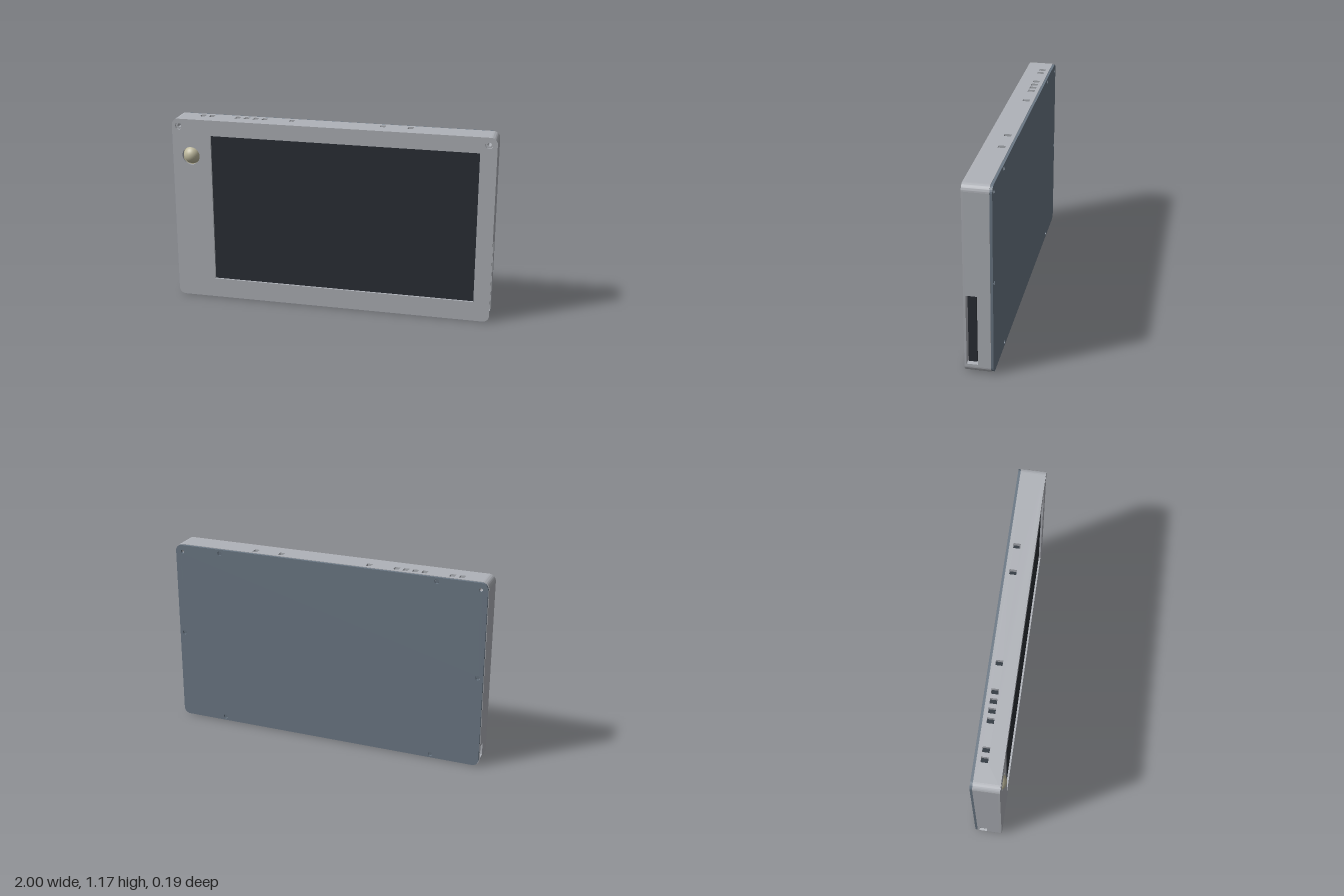
import * as THREE from 'three';
import { toCreasedNormals } from 'three/addons/utils/BufferGeometryUtils.js';

const H = 1.17, R = 0.04, WALL = 0.03;
const BACK = -0.095, SEAM = -0.08, LIP = 0.061, FRONT = 0.073;

const paint = (color) => new THREE.MeshStandardMaterial({ color });
const shellMat = paint(0xb0b3b9), backMat = paint(0x6b7885), screenMat = paint(0x2b2f36);
const domeMat = paint(0xbfba9f), screwMat = paint(0x66727e), blueMat = paint(0x3f6a94);

function rect(path, x0, y0, x1, y1) {
  path.moveTo(x0, y0);
  path.lineTo(x1, y0);
  path.lineTo(x1, y1);
  path.lineTo(x0, y1);
  path.closePath();
  return path;
}

function roundedRect(x0, y0, x1, y1, r) {
  const s = new THREE.Shape();
  s.absarc(x1 - r, y1 - r, r, 0, Math.PI / 2);
  s.absarc(x0 + r, y1 - r, r, Math.PI / 2, Math.PI);
  s.absarc(x0 + r, y0 + r, r, Math.PI, Math.PI * 1.5);
  s.absarc(x1 - r, y0 + r, r, Math.PI * 1.5, Math.PI * 2);
  s.closePath();
  return s;
}

const circle = (x, y, r) => new THREE.Path().absarc(x, y, r, 0, Math.PI * 2, true);

function extrude(shape, depth) {
  const g = new THREE.ExtrudeGeometry(shape, { depth, bevelEnabled: false, curveSegments: 12 });
  return toCreasedNormals(g, 0.6);
}

export function createModel() {
  const model = new THREE.Group();
  model.name = 'wallPanelDisplay';
  const add = (name, geometry, material, x = 0, y = 0, z = 0) => {
    const mesh = new THREE.Mesh(geometry, material);
    mesh.name = name;
    mesh.position.set(x, y, z);
    model.add(mesh);
    return mesh;
  };
  const box = (name, material, x0, x1, y0, y1, z0, z1) =>
    add(name, new THREE.BoxGeometry(x1 - x0, y1 - y0, z1 - z0), material,
      (x0 + x1) / 2, (y0 + y1) / 2, (z0 + z1) / 2);

  const mounts = [[-0.955, 1.125], [0.952, 1.125]];
  const screws = [[-0.695, 1.143], [0.695, 1.143], [-0.965, 0.58], [0.965, 0.58],
    [-0.695, 0.027], [0.695, 0.027]];

  // Front bezel with screen window, dome opening and mounting holes
  const bezel = roundedRect(-1, 0, 1, H, R);
  bezel.holes.push(rect(new THREE.Path(), -0.753, 0.125, 0.9, 1.072), circle(-0.883, 0.937, 0.056));
  mounts.forEach(([x, y]) => bezel.holes.push(circle(x, y, 0.023)));
  add('frontBezel', extrude(bezel, FRONT - LIP), shellMat, 0, 0, LIP);

  // Top and bottom walls with matching vent slots
  const slotXs = [-0.83, -0.772, -0.605, -0.547, -0.49, -0.433, -0.262, 0.303, 0.472];
  const ventWall = rect(new THREE.Shape(), -1 + R, SEAM, 1 - R, LIP);
  slotXs.forEach((x) => ventWall.holes.push(
    rect(new THREE.Path(), x - 0.016, -0.056, x + 0.016, -0.014)));
  const ventGeometry = extrude(ventWall, WALL);
  add('topWall', ventGeometry, shellMat, 0, H, 0).rotation.x = Math.PI / 2;
  add('bottomWall', ventGeometry, shellMat, 0, WALL, 0).rotation.x = Math.PI / 2;

  // Side walls, each with one opening given as z0, y0, z1, y1
  const sideWall = (name, x, opening) => {
    const s = rect(new THREE.Shape(), SEAM, R, LIP, H - R);
    s.holes.push(rect(new THREE.Path(), ...opening));
    add(name, extrude(s, WALL), shellMat, x, 0, 0).rotation.y = -Math.PI / 2;
  };
  sideWall('leftWall', 1, [-0.005, 0.055, 0.06, 0.5]);
  sideWall('rightWall', -1 + WALL, [-0.07, 0.045, -0.02, 0.125]);

  // Rounded corner posts
  [[1, 1], [-1, 1], [-1, 0], [1, 0]].forEach(([sx, top], i) => {
    const a = i * Math.PI / 2, s = new THREE.Shape();
    s.absarc(0, 0, R, a, a + Math.PI / 2);
    s.absarc(0, 0, R - WALL, a + Math.PI / 2, a, true);
    s.closePath();
    add('cornerPost', extrude(s, LIP - SEAM), shellMat, sx * (1 - R), top ? H - R : R, SEAM);
  });

  // Back cover with through holes and screw holes
  const cover = roundedRect(-0.997, 0.003, 0.997, H - 0.003, R);
  mounts.forEach(([x, y]) => cover.holes.push(circle(x, y, 0.012)));
  screws.forEach(([x, y]) => cover.holes.push(circle(x, y, 0.014)));
  add('backCover', extrude(cover, SEAM - BACK), backMat, 0, 0, BACK);

  // Sunken screw heads
  const head = new THREE.CylinderGeometry(0.012, 0.012, 0.012, 20).rotateX(Math.PI / 2);
  screws.forEach(([x, y]) => add('coverScrew', head, screwMat, x, y, SEAM));

  // Hollow mounting pillars
  const pillar = extrude((() => {
    const s = new THREE.Shape().absarc(0, 0, 0.026, 0, Math.PI * 2);
    s.holes.push(circle(0, 0, 0.012));
    return s;
  })(), LIP - SEAM);
  mounts.forEach(([x, y]) => add('mountingPillar', pillar, shellMat, x, y, SEAM));

  // Screen slab behind the window
  box('screen', screenMat, -0.79, 0.95, 0.04, 1.1, 0.01, LIP - 0.001);

  // Domed sensor and its base
  add('sensorDome', new THREE.SphereGeometry(0.055, 32, 20), domeMat, -0.883, 0.937, 0.04);
  box('sensorBase', domeMat, -0.95, -0.812, 0.868, 1.006, -0.06, 0.02);

  // Connectors inside the side openings
  box('powerSocket', screenMat, -0.985, -0.9, 0.045, 0.125, -0.07, -0.02);
  box('cableConnector', blueMat, -0.96, -0.88, 0.045, 0.12, -0.012, 0.009);

  return model;
}
